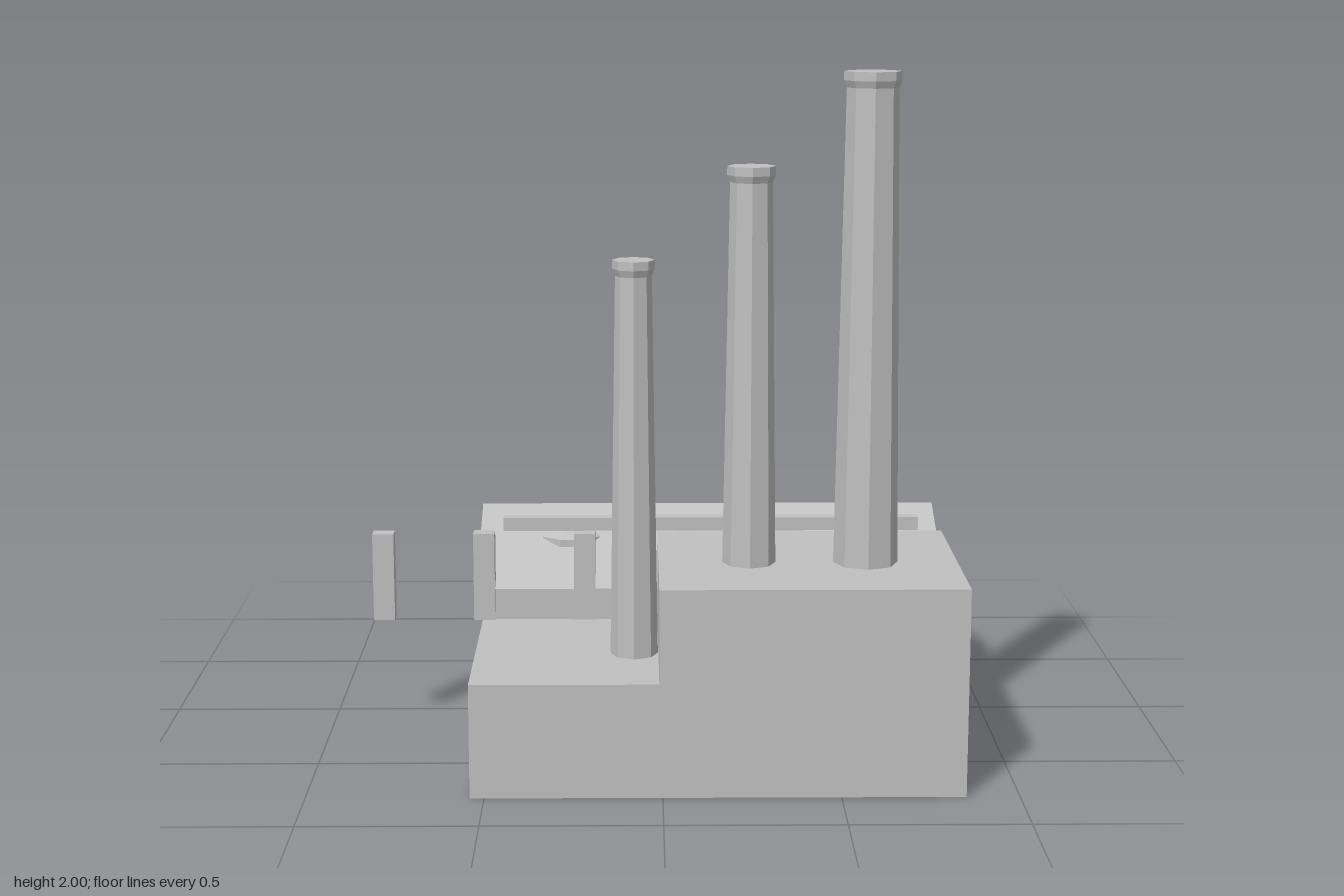
import * as THREE from 'three';

// One plain grey; double sided because the shells are open underneath
const grey = new THREE.MeshStandardMaterial({ color: 0xc0c0c0, side: THREE.DoubleSide, flatShading: true });
grey.name = 'concrete grey';

export function createModel() {
  const model = new THREE.Group();
  model.name = 'factory';

  function add(name, geometry, x = 0, y = 0, z = 0) {
    const mesh = new THREE.Mesh(geometry, grey);
    mesh.name = name;
    mesh.position.set(x, y, z);
    model.add(mesh);
    return mesh;
  }

  // Box given by its limits; open boxes lose their bottom face
  function block(name, [x0, x1], [y0, y1], [z0, z1], open = false) {
    const g = new THREE.BoxGeometry(x1 - x0, y1 - y0, z1 - z0);
    if (open) {
      const index = Array.from(g.index.array);
      index.splice(18, 6);
      g.setIndex(index);
      g.clearGroups();
    }
    return add(name, g, (x0 + x1) / 2, (y0 + y1) / 2, (z0 + z1) / 2);
  }

  // Flat convex panel from its corners
  function panel(name, corners) {
    const g = new THREE.BufferGeometry();
    g.setAttribute('position', new THREE.Float32BufferAttribute(corners.flat(), 3));
    const index = [];
    for (let i = 1; i < corners.length - 1; i++) index.push(0, i, i + 1);
    g.setIndex(index);
    g.computeVertexNormals();
    return add(name, g);
  }

  // Rectangle spanning x between two (z, y) edge points
  function span(name, x0, x1, [za, ya], [zb, yb]) {
    return panel(name, [[x0, ya, za], [x1, ya, za], [x1, yb, zb], [x0, yb, zb]]);
  }

  // Front halls
  block('lowHall', [-0.54, -0.01], [0, 0.33], [0.14, 0.79], true);
  block('highHall', [-0.01, 0.85], [0, 0.6], [0.125, 0.79], true);

  // Gabled hall behind, with thin overhanging roof sheets
  const gable = [[0.13, 0], [-0.6, 0], [-0.6, 0.429], [-0.24, 0.597], [0.13, 0.428]];
  const gableAt = x => gable.map(([z, y]) => [x, y, z]);
  panel('leftGable', gableAt(0.85));
  panel('rightGable', gableAt(-0.54).reverse());
  span('gableHallFront', -0.54, 0.85, [0.13, 0], [0.13, 0.428]);
  span('gableHallBack', 0.85, -0.54, [-0.6, 0], [-0.6, 0.429]);
  span('roofFront', -0.56, 0.866, [0.14, 0.425], [-0.24, 0.601]);
  span('roofBack', 0.866, -0.56, [-0.625, 0.42], [-0.24, 0.601]);

  // Flared eight-sided chimneys with a capped collar
  const chimneys = [
    { x: -0.08, h: 1.475, foot: 0.092, low: 0.069, top: 0.052, cap: 0.06 },
    { x: 0.25, h: 1.738, foot: 0.108, low: 0.081, top: 0.06, cap: 0.068 },
    { x: 0.585, h: 2, foot: 0.122, low: 0.097, top: 0.073, cap: 0.081 },
  ];
  for (const c of chimneys) {
    const profile = [
      [c.foot, 0], [(c.foot + c.low) / 2 - 0.003, 0.12], [c.low, 0.3],
      [c.top, c.h - 0.045], [c.cap, c.h - 0.025], [c.cap, c.h], [0, c.h],
    ].map(([r, y]) => new THREE.Vector2(r, y));
    add('chimney', new THREE.LatheGeometry(profile, 8), c.x, 0, 0.487);
  }

  // Row of ten-sided tanks with shallow conical lids, two inside the hall
  const tanks = [[-0.7, 0.4], [-0.42, 0.467], [-0.14, 0.532]];
  for (const [z, h] of tanks) {
    const profile = [[0.105, 0], [0.105, h], [0, h + 0.043]].map(([r, y]) => new THREE.Vector2(r, y));
    add('tank', new THREE.LatheGeometry(profile, 10), -0.277, 0, z).rotation.y = Math.PI / 10;
  }

  // Posts carrying the long overhead duct
  for (let i = 0; i < 6; i++) {
    const x = -0.87 + i * 0.304;
    block('post', [x, x + 0.064], [0.33, 0.598], [0.098, 0.148]);
  }
  block('duct', [-0.475, 0.78], [0.6, 0.64], [0.077, 0.116]);

  return model;
}
